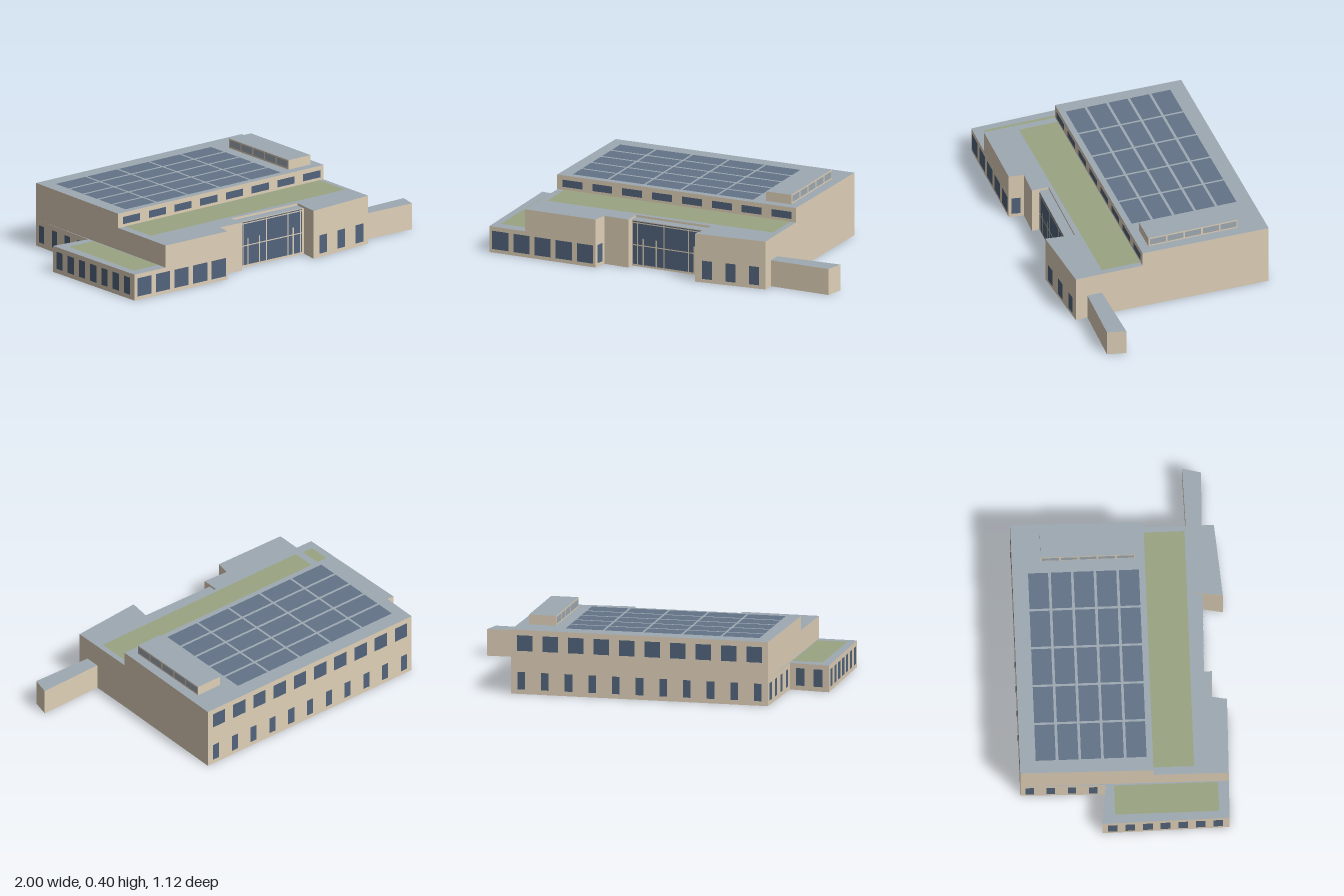
import * as THREE from 'three';

const mat = (name, color, side = THREE.FrontSide) => {
  const m = new THREE.MeshStandardMaterial({ color, side });
  m.name = name;
  return m;
};

export function createModel() {
  const root = new THREE.Group();
  root.name = 'building';
  const wall = mat('sandstone wall', 0xdfd0b8, THREE.DoubleSide);
  const roof = mat('grey roof', 0x9ea9b2, THREE.DoubleSide);
  const grass = mat('green roof', 0x9ba483);
  const glass = mat('window glass', 0x52647b);
  const solar = mat('solar panel', 0x637387);
  const under = mat('dark underside', 0x80868a, THREE.DoubleSide);

  const add = (name, geometry, material, parent = root) => {
    const m = new THREE.Mesh(geometry, material);
    m.name = name;
    parent.add(m);
    return m;
  };

  // Flat horizontal surface over an [x, z] outline
  const slab = (name, pts, y, material) => {
    const shape = new THREE.Shape(pts.map(([x, z]) => new THREE.Vector2(x, -z)));
    const m = add(name, new THREE.ShapeGeometry(shape).rotateX(-Math.PI / 2), material);
    m.position.y = y;
  };

  // Open-bottomed storey: walls around an outline, and a roof
  const storey = (name, pts, y0, y1) => {
    const v = [];
    pts.forEach(([ax, az], i) => {
      const [bx, bz] = pts[(i + 1) % pts.length];
      v.push(ax, y0, az, bx, y0, bz, bx, y1, bz, ax, y0, az, bx, y1, bz, ax, y1, az);
    });
    const g = new THREE.BufferGeometry();
    g.setAttribute('position', new THREE.Float32BufferAttribute(v, 3));
    g.computeVertexNormals();
    add(name + 'Walls', g, wall);
    slab(name + 'Roof', pts, y1, roof);
  };

  // Outward-facing pane just proud of the wall from a to b, centred d along it
  const pane = (name, a, b, d, w, y0, y1, material, proud = 0.002) => {
    const dx = b[0] - a[0], dz = b[1] - a[1], len = Math.hypot(dx, dz);
    const m = add(name, new THREE.PlaneGeometry(w, y1 - y0), material);
    m.position.set(a[0] + dx * d / len, (y0 + y1) / 2, a[1] + dz * d / len);
    m.rotation.y = Math.atan2(-dz, dx);
    m.translateZ(proud);
  };
  const paneRow = (name, a, b, first, pitch, count, w, y0, y1, material = glass) => {
    for (let i = 0; i < count; i++) pane(name, a, b, first + i * pitch, w, y0, y1, material);
  };

  // Outlines, running from the back down the right side and along the front
  const backRight = [-0.77, -0.56], backLeft = [0.64, -0.56];
  const wingInner = [-0.78, -0.105], wingBack = [-1, -0.13], wingFront = [-0.99, 0.55];
  const stepA = [-0.36, 0.56], stepB = [-0.345, 0.478], stepC = [-0.2, 0.485];
  const bayA = [-0.2, 0.443], bayB = [0.25, 0.453];
  const pavA = [0.23, 0.56], pavB = [0.63, 0.528], mainFront = [-0.78, 0.553];
  const front = [stepA, stepB, stepC, bayA, bayB, pavA, pavB, [0.63, 0.15], backLeft];
  const base = [backRight, wingInner, wingBack, wingFront, ...front];
  const arm = [[0.63, 0.38], [0.63, 0.462], [0.975, 0.473], [1, 0.372]];
  const upper = [backRight, [-0.78, 0.15], [0.63, 0.15], backLeft];

  storey('ground', base, 0, 0.145);
  storey('middle', [backRight, mainFront, ...front], 0.145, 0.256);
  storey('parapet', [backRight, mainFront, stepA, stepB, stepC, [-0.2, 0.39], [0.25, 0.4],
    pavA, pavB, [0.63, 0.15], backLeft], 0.256, 0.268);
  storey('upper', upper, 0.268, 0.349);
  storey('sideArm', arm, 0, 0.145);
  slab('underside', base, 0.14, under);

  // Front windows
  paneRow('wingWindow', wingFront, stepA, 0.065, 0.126, 5, 0.096, 0.02, 0.122);
  paneRow('pavilionWindow', pavA, pavB, 0.068, 0.134, 3, 0.056, 0.02, 0.122);
  paneRow('clerestoryWindow', upper[1], upper[2], 0.091, 0.1765, 8, 0.118, 0.285, 0.325);
  pane('stepWindow', stepA, stepB, 0.04, 0.05, 0.02, 0.122, glass);

  // Back and right side windows
  paneRow('backUpperWindow', backLeft, backRight, 0.075, 0.14, 10, 0.085, 0.235, 0.32);
  paneRow('backLowerWindow', backLeft, backRight, 0.055, 0.13, 11, 0.042, 0.025, 0.12);
  paneRow('sideWindow', backRight, wingInner, 0.05, 0.113, 4, 0.045, 0.025, 0.12);
  paneRow('wingBackWindow', wingInner, wingBack, 0.06, 0.1, 2, 0.05, 0.025, 0.12);
  paneRow('wingSideWindow', wingBack, wingFront, 0.055, 0.094, 7, 0.052, 0.025, 0.12);

  // Glazed entrance with its frame
  pane('entranceGlass', bayA, bayB, 0.222, 0.43, 0.012, 0.252, glass);
  for (const [d, top] of [[0.037, 0.25], [0.07, 0.16], [0.148, 0.16], [0.195, 0.25],
    [0.34, 0.25], [0.375, 0.16], [0.425, 0.25]])
    pane('entranceMullion', bayA, bayB, d, 0.007, 0.012, top, wall, 0.004);
  for (const y of [0.12, 0.244])
    pane('entranceRail', bayA, bayB, 0.222, 0.43, y - 0.003, y + 0.003, wall, 0.004);

  // Flat sheets lying on the roofs
  const sheet = (name, x0, x1, z0, z1, y, material) =>
    slab(name, [[x0, z0], [x0, z1], [x1, z1], [x1, z0]], y + 0.002, material);
  sheet('mainGreenRoof', -0.735, 0.6, 0.152, 0.37, 0.268, grass);
  sheet('wingGreenRoof', -0.95, -0.785, -0.06, 0.495, 0.145, grass);
  for (let i = 0; i < 5; i++)
    for (let j = 0; j < 5; j++) {
      const x = -0.703 + i * 0.2155, z = -0.475 + j * 0.1213;
      sheet('solarPanel', x, x + 0.203, z, z + 0.107, 0.349, solar);
    }

  // Rooftop plant housing with vents on both long sides
  const p = [[0.43, -0.405], [0.43, 0.1], [0.58, 0.1], [0.58, -0.405]];
  storey('plantHousing', p, 0.349, 0.402);
  paneRow('plantVent', p[0], p[1], 0.053, 0.1, 5, 0.09, 0.359, 0.395, roof);
  paneRow('plantVent', p[2], p[3], 0.053, 0.1, 5, 0.09, 0.359, 0.395, roof);

  return root;
}
